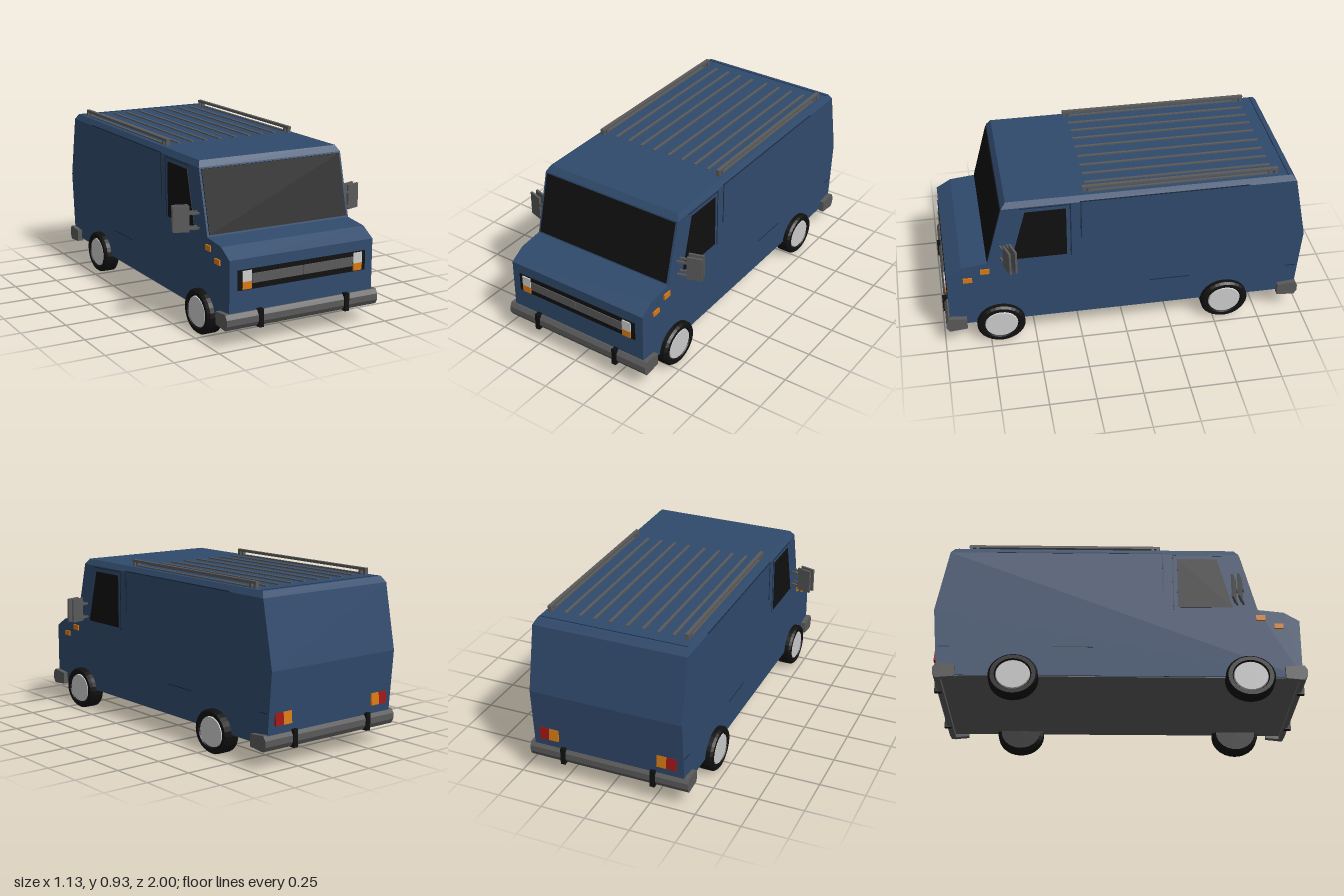
import * as THREE from 'three';

const mat = (color) => new THREE.MeshStandardMaterial({ color, flatShading: true });
const blue = mat(0x304a6c), seam = mat(0x1c2c42), black = mat(0x101010), grey = mat(0x5a5a5a);
const orange = mat(0xd87a14), red = mat(0xa01616), light = mat(0xcccccc);

export function createModel() {
  const van = new THREE.Group();
  van.name = 'van';

  const add = (name, geometry, material, parent = van) => {
    const mesh = new THREE.Mesh(geometry, material);
    mesh.name = name;
    parent.add(mesh);
    return mesh;
  };
  // box given by its minimum and maximum corners
  const box = (name, x0, x1, y0, y1, z0, z1, material, parent) => {
    const mesh = add(name, new THREE.BoxGeometry(x1 - x0, y1 - y0, z1 - z0), material, parent);
    mesh.position.set((x0 + x1) / 2, (y0 + y1) / 2, (z0 + z1) / 2);
    return mesh;
  };
  // side profile of [z, y] points, extruded across x from x0 to x1
  const across = (points, x0, x1) => {
    const shape = new THREE.Shape(points.map(([z, y]) => new THREE.Vector2(z, y)));
    const geometry = new THREE.ExtrudeGeometry(shape, { depth: x1 - x0, bevelEnabled: false });
    return geometry.rotateY(-Math.PI / 2).translate(x1, 0, 0);
  };

  // Body shell with angled nose and tail
  const W = 0.427;
  add('body', across([
    [0.968, 0.125], [0.968, 0.455], [0.885, 0.505], [0.745, 0.52], [0.655, 0.86],
    [-0.928, 0.86], [-0.997, 0.507], [-0.965, 0.125],
  ], -W, W), blue);

  // Roof cap, narrowed at the top to chamfer its long edges
  const roof = across([[0.655, 0.86], [0.63, 0.892], [-0.905, 0.892], [-0.928, 0.86]], -W, W);
  const p = roof.attributes.position;
  for (let i = 0; i < p.count; i++) if (p.getY(i) > 0.88) p.setX(i, Math.sign(p.getX(i)) * 0.41);
  roof.computeVertexNormals();
  add('roof', roof, blue);
  box('roofRearSeam', -0.41, 0.41, 0.888, 0.8935, -0.885, -0.88, seam);
  box('floor', -0.42, 0.42, 0.121, 0.127, -0.96, 0.96, grey);

  // Windshield, a thin slab along the sloped front
  add('windshield', across([[0.735, 0.53], [0.747, 0.53], [0.662, 0.852], [0.65, 0.852]], -0.415, 0.415), black);

  // Grille
  box('grillePanel', -0.38, 0.38, 0.295, 0.4, 0.96, 0.972, black);
  for (const s of [-1, 1]) {
    box('grilleBar', s * 0.151 - 0.149, s * 0.151 + 0.149, 0.326, 0.376, 0.965, 0.977, grey);
    box('headlight', s * 0.33 - 0.026, s * 0.33 + 0.026, 0.34, 0.395, 0.965, 0.979, light);
    box('frontIndicator', s * 0.33 - 0.026, s * 0.33 + 0.026, 0.3, 0.338, 0.965, 0.979, orange);
  }

  // Bumpers: a chamfered beam, ends that wrap the corners, and two straps
  for (const front of [true, false]) {
    const bumper = new THREE.Group();
    bumper.name = front ? 'frontBumper' : 'rearBumper';
    add('beam', across([
      [0.95, 0.1], [0.975, 0.1], [0.99, 0.125], [0.99, 0.158], [0.975, 0.182], [0.95, 0.182],
    ], -0.453, 0.453), grey, bumper);
    for (const s of [-1, 1]) {
      const x = s * 0.437;
      add('bumperEnd', across([
        [0.875, 0.108], [0.96, 0.1], [0.96, 0.182], [0.875, 0.174],
      ], x - 0.016, x + 0.016), grey, bumper);
      box('strap', s * 0.257 - 0.013, s * 0.257 + 0.013, 0.095, 0.19, 0.96, 0.998, black, bumper);
    }
    if (!front) {
      bumper.rotation.y = Math.PI;
      bumper.position.z = 0.008;
    }
    van.add(bumper);
  }

  for (const s of [-1, 1]) {
    // panel lying on the side wall
    const onSide = (name, z0, z1, y0, y1, t, material) =>
      box(name, s * W - t, s * W + t, y0, y1, z0, z1, material);

    // Door window and seams
    add('sideWindow', across([
      [0.613, 0.533], [0.533, 0.829], [0.316, 0.829], [0.316, 0.533],
    ], s * W - 0.003, s * W + 0.003), black);
    onSide('doorRearSeam', 0.29, 0.296, 0.52, 0.855, 0.002, seam);
    onSide('doorTopSeam', 0.296, 0.56, 0.85, 0.855, 0.002, seam);
    onSide('panelFrontSeam', 0.234, 0.24, 0.63, 0.865, 0.002, seam);
    onSide('gutterSeam', -0.67, 0.24, 0.86, 0.865, 0.002, seam);
    onSide('lowerSeam', -0.36, -0.14, 0.29, 0.295, 0.002, seam);
    onSide('rearCornerSeam', -0.965, -0.905, 0.288, 0.293, 0.002, seam);

    // Marker lamps
    onSide('lowerMarker', 0.83, 0.88, 0.408, 0.436, 0.008, orange);
    onSide('upperMarker', 0.735, 0.785, 0.455, 0.485, 0.008, orange);

    // Tail lamps on the sloped rear
    for (const [name, x, material] of [['tailLight', 0.362, red], ['rearIndicator', 0.308, orange]]) {
      const lamp = box(name, s * x - 0.027, s * x + 0.027, 0.225, 0.29, -0.985, -0.973, material);
      lamp.rotation.x = 0.084;
    }

    // Swept-back mirrors, two plates each carried on two arms
    const mirror = new THREE.Group();
    mirror.name = 'mirror';
    for (const z of [0, 0.034]) {
      const mid = s * 0.09;
      box('mirrorPlate', mid - 0.042, mid + 0.042, 0.535, 0.67, z - 0.006, z + 0.006, grey, mirror);
      for (const y of [0.552, 0.63])
        box('mirrorArm', s * 0.025 - 0.03, s * 0.025 + 0.03, y - 0.006, y + 0.006, z - 0.005, z + 0.005, grey, mirror);
    }
    mirror.position.set(s * W, 0, 0.638);
    mirror.rotation.y = s * 0.3;
    van.add(mirror);

    // Wheels
    for (const z of [0.69, -0.56]) {
      const wheel = new THREE.Group();
      wheel.name = 'wheel';
      const tyre = new THREE.LatheGeometry([
        [0, -0.047], [0.1, -0.047], [0.118, -0.034], [0.118, 0.034], [0.108, 0.047], [0.088, 0.047], [0.083, 0.036], [0, 0.036],
      ].map(([r, h]) => new THREE.Vector2(r, h)), 28);
      add('tyre', tyre, black, wheel);
      const hub = add('hub', new THREE.CylinderGeometry(0.078, 0.083, 0.012, 28), light, wheel);
      hub.position.y = 0.038;
      wheel.rotation.z = -s * Math.PI / 2;
      wheel.scale.z = 1.12;
      wheel.position.set(s * 0.417, 0.118, z);
      van.add(wheel);
    }

    // Roof rack rails with feet
    const r = s * 0.38;
    box('rackRail', r - 0.01, r + 0.01, 0.914, 0.928, -0.83, 0.225, grey);
    box('rackLowerRail', r - 0.007, r + 0.007, 0.888, 0.899, -0.8, 0.19, grey);
    for (const z of [-0.82, -0.785, 0.185, 0.215])
      box('rackFoot', r - 0.01, r + 0.01, 0.885, 0.92, z - 0.008, z + 0.008, grey);

    // Roof slats
    for (const x of [0.048, 0.135, 0.218, 0.3])
      box('roofSlat', s * x - 0.007, s * x + 0.007, 0.888, 0.899, -0.81, 0.2, grey);
  }

  return van;
}
